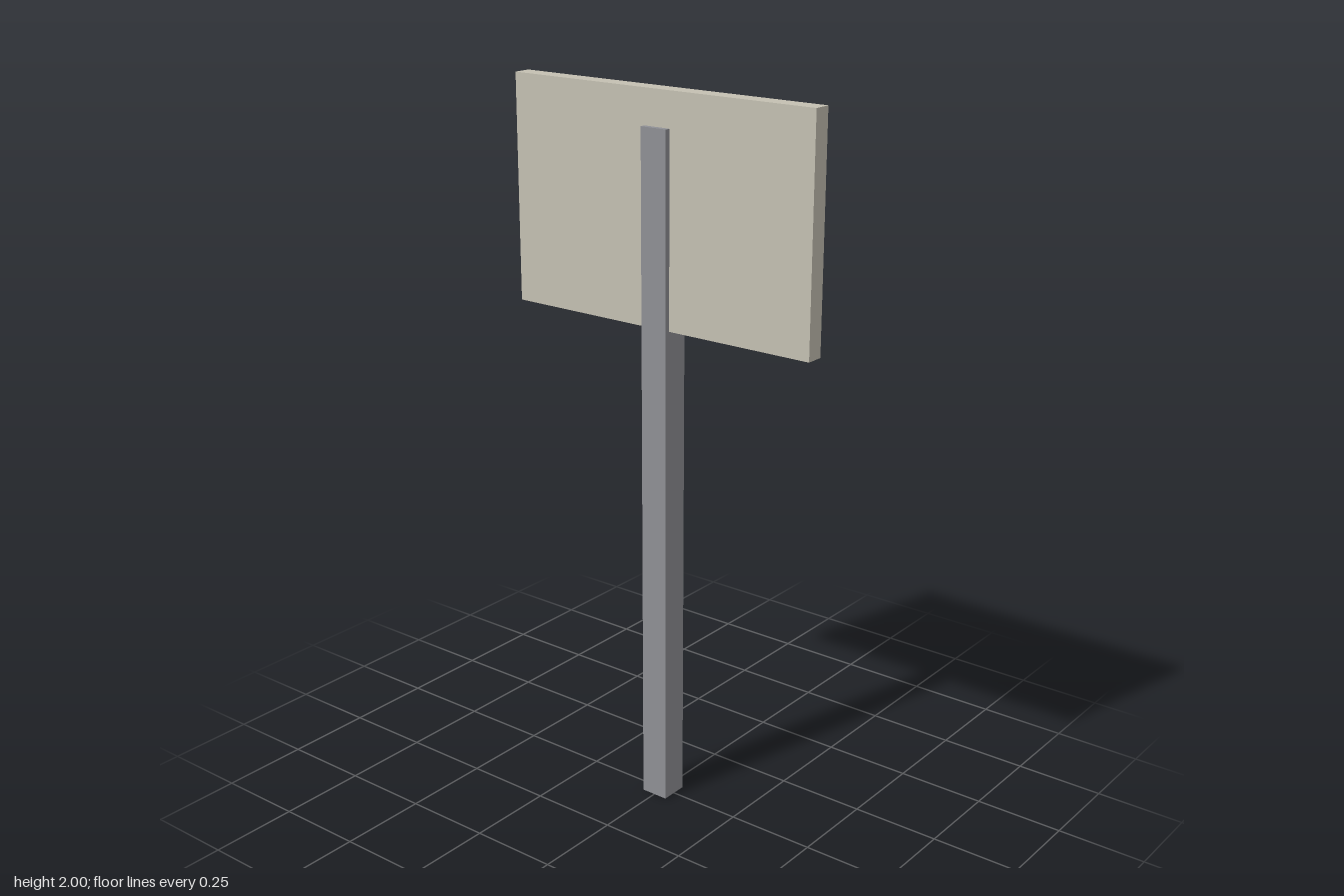
import * as THREE from 'three';

const postGrey = new THREE.MeshStandardMaterial({ color: 0x8f9095 });
postGrey.name = 'postGrey';
const panelBeige = new THREE.MeshStandardMaterial({ color: 0xc4c0b2 });
panelBeige.name = 'panelBeige';

// Box standing on height y
function box(name, width, height, depth, y, material) {
  const mesh = new THREE.Mesh(new THREE.BoxGeometry(width, height, depth), material);
  mesh.name = name;
  mesh.position.y = y + height / 2;
  return mesh;
}

export function createModel() {
  const sign = new THREE.Group();
  sign.name = 'signpost';

  // Square post running up through the panel
  sign.add(box('post', 0.08, 1.905, 0.08, 0, postGrey));

  // Blank sign panel, thinner than the post so the post shows on both faces
  sign.add(box('signPanel', 0.95, 0.62, 0.05, 1.38, panelBeige));

  return sign;
}
